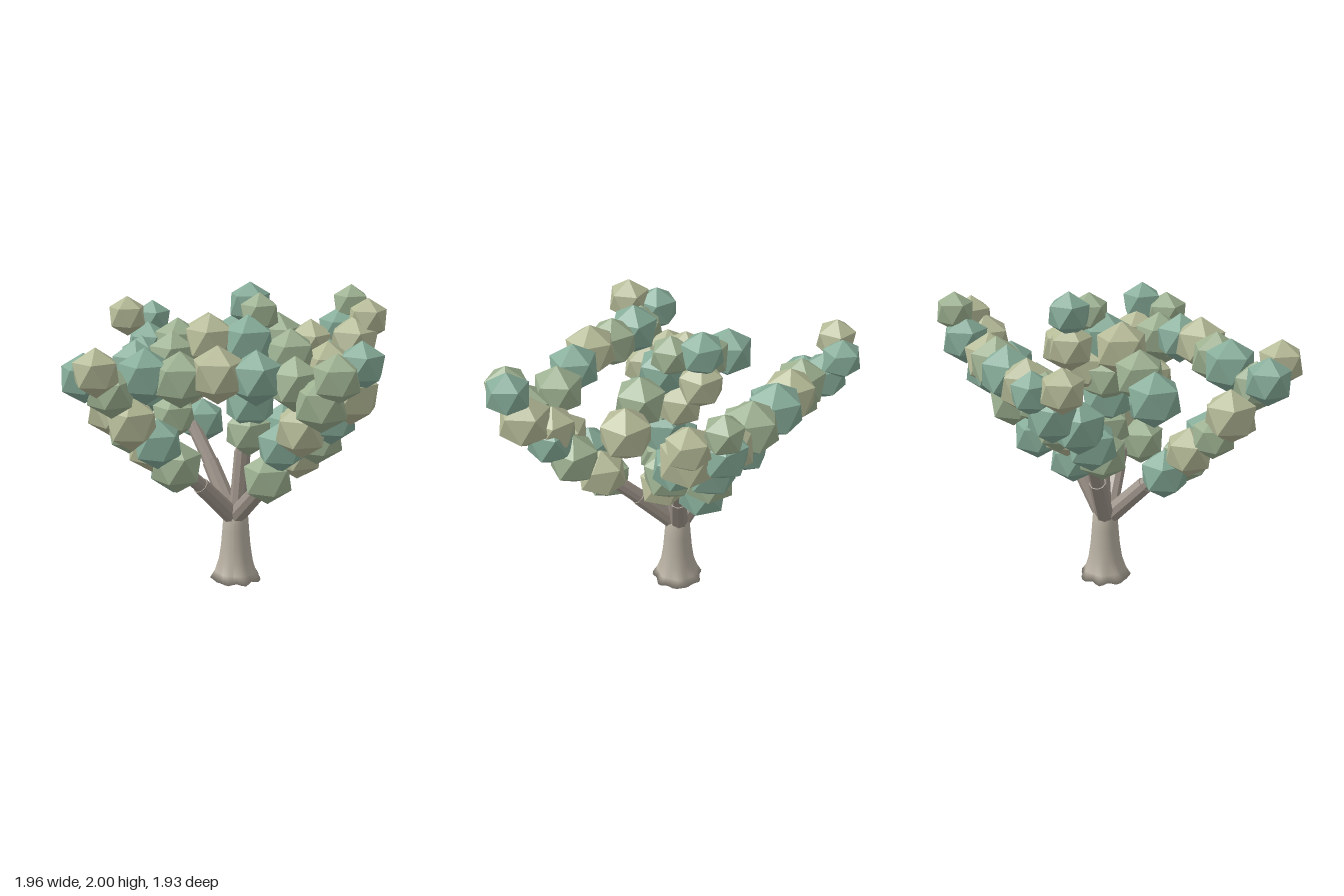
import * as THREE from 'three';

const LEAF = [0x86ac99, 0x9db191, 0xb5ba97].map(
  (color) => new THREE.MeshStandardMaterial({ color, flatShading: true }));
const TRUNK = new THREE.MeshStandardMaterial({ color: 0xb8b0a2, side: THREE.DoubleSide });
const BRANCH = new THREE.MeshStandardMaterial({ color: 0xa0968c, flatShading: true });

// Leaf clumps per group: x, y, z, radius, shade
const CLUMPS = {
  frontLeftFoliage: [
    [0.26, 0.84, 0.36, 0.17, 1], [0.44, 0.99, 0.27, 0.172, 2], [0.35, 1.07, 0.43, 0.165, 0],
    [0.57, 1.13, 0.39, 0.177, 1], [0.48, 1.21, 0.54, 0.178, 2], [0.66, 1.28, 0.5, 0.168, 0],
    [0.64, 1.36, 0.49, 0.16, 2], [0.61, 1.42, 0.71, 0.178, 1], [0.78, 1.45, 0.6, 0.182, 2],
    [0.7, 1.59, 0.79, 0.157, 1], [0.84, 1.65, 0.67, 0.153, 0],
  ],
  frontRightFoliage: [
    [-0.37, 0.84, 0.2, 0.168, 0], [-0.32, 0.91, 0.39, 0.178, 1], [-0.49, 1.01, 0.31, 0.168, 2],
    [-0.42, 1.08, 0.49, 0.165, 0], [-0.62, 1.14, 0.41, 0.15, 1], [-0.57, 1.23, 0.57, 0.178, 2],
    [-0.7, 1.29, 0.48, 0.18, 2], [-0.67, 1.45, 0.68, 0.165, 1], [-0.84, 1.53, 0.66, 0.158, 0],
    [-0.73, 1.6, 0.82, 0.155, 2],
  ],
  backLeftFoliage: [
    [0.3, 0.99, -0.4, 0.165, 0], [0.45, 1.07, -0.2, 0.155, 2], [0.53, 1.24, -0.3, 0.178, 1],
    [0.42, 1.2, -0.52, 0.165, 1], [0.65, 1.39, -0.43, 0.165, 0], [0.58, 1.4, -0.62, 0.172, 0],
    [0.76, 1.55, -0.57, 0.185, 2], [0.66, 1.6, -0.75, 0.165, 0], [0.85, 1.7, -0.63, 0.147, 2],
    [0.73, 1.78, -0.79, 0.135, 1],
  ],
  backRightFoliage: [
    [-0.26, 1.01, -0.4, 0.158, 0], [-0.44, 1.07, -0.28, 0.163, 1], [-0.37, 1.24, -0.49, 0.163, 2],
    [-0.58, 1.21, -0.42, 0.17, 0], [-0.52, 1.35, -0.61, 0.17, 1], [-0.71, 1.39, -0.57, 0.175, 0],
    [-0.69, 1.47, -0.73, 0.165, 0], [-0.84, 1.67, -0.73, 0.142, 2], [-0.68, 1.63, -0.85, 0.138, 0],
  ],
  frontRow: [
    [-0.47, 1.54, 0.61, 0.18, 0], [-0.25, 1.53, 0.64, 0.178, 1], [-0.02, 1.57, 0.655, 0.182, 2],
    [0.21, 1.55, 0.63, 0.175, 0], [0.44, 1.51, 0.59, 0.175, 1],
  ],
  backRow: [
    [-0.47, 1.5, -0.67, 0.178, 1], [-0.26, 1.53, -0.7, 0.183, 2], [-0.02, 1.55, -0.73, 0.187, 0],
    [0.23, 1.54, -0.7, 0.187, 1], [0.46, 1.51, -0.66, 0.18, 2],
  ],
  middleRow: [
    [-0.65, 1.46, -0.03, 0.18, 0], [-0.4, 1.54, 0, 0.17, 1], [-0.15, 1.65, 0, 0.18, 2],
    [0.1, 1.65, 0.01, 0.182, 0], [0.37, 1.57, 0.01, 0.175, 1], [0.61, 1.48, -0.04, 0.18, 2],
  ],
  crown: [
    [0.1, 1.05, 0.02, 0.165, 1], [0.11, 1.24, 0.02, 0.178, 0], [0.04, 1.41, -0.02, 0.165, 1],
    [0.12, 1.47, -0.12, 0.16, 2], [0.08, 1.63, -0.25, 0.158, 2], [0.16, 1.82, -0.08, 0.138, 1],
    [0.08, 1.85, -0.26, 0.15, 0],
  ],
};

// Icosahedron standing on one corner
const clumpGeometry = new THREE.IcosahedronGeometry(1, 0)
  .rotateZ(Math.atan(2 / (1 + Math.sqrt(5))));

function addFoliage(parent, name, list) {
  const group = new THREE.Group();
  group.name = name;
  list.forEach(([x, y, z, r, shade], i) => {
    const clump = new THREE.Mesh(clumpGeometry, LEAF[shade]);
    clump.name = 'leafClump';
    clump.position.set(x, y, z);
    clump.scale.setScalar(r);
    clump.rotation.y = i * 2.4 + x * 5;
    group.add(clump);
  });
  parent.add(group);
}

// Chain of segments, each one stepping down in thickness
function addBranch(parent, name, points, radii) {
  const group = new THREE.Group();
  group.name = name;
  for (let i = 0; i < points.length - 1; i++) {
    const a = new THREE.Vector3(...points[i]);
    const b = new THREE.Vector3(...points[i + 1]);
    const dir = b.clone().sub(a);
    const geometry = new THREE.CylinderGeometry(radii[i] * 0.92, radii[i], dir.length(), 9);
    const segment = new THREE.Mesh(geometry, BRANCH);
    segment.name = 'branchSegment';
    segment.position.copy(a).add(b).multiplyScalar(0.5);
    segment.quaternion.setFromUnitVectors(new THREE.Vector3(0, 1, 0), dir.normalize());
    group.add(segment);
  }
  parent.add(group);
}

// Flared trunk with a lobed, slightly ragged foot
function makeTrunk() {
  const profile = [[0, 0.015], [0.165, 0.008], [0.138, 0.06], [0.115, 0.14], [0.1, 0.24],
    [0.09, 0.36], [0.082, 0.47], [0.06, 0.5], [0, 0.505]];
  const geometry = new THREE.LatheGeometry(profile.map(([r, y]) => new THREE.Vector2(r, y)), 36);
  const p = geometry.attributes.position;
  for (let i = 0; i < p.count; i++) {
    const x = p.getX(i), y = p.getY(i), z = p.getZ(i);
    const angle = Math.atan2(z, x);
    const flare = Math.max(0, 1 - y / 0.15);
    const k = 1 + 0.07 * flare * Math.sin(7 * angle);
    const lift = Math.hypot(x, z) > 0.15 ? 0.008 * Math.cos(9 * angle) : 0;
    p.setXYZ(i, x * k, y + lift, z * k);
  }
  geometry.computeVertexNormals();
  const trunk = new THREE.Mesh(geometry, TRUNK);
  trunk.name = 'trunk';
  trunk.position.set(0.01, 0, -0.04);
  return trunk;
}

export function createModel() {
  const tree = new THREE.Group();
  tree.name = 'tree';
  tree.add(makeTrunk());

  // Front limbs, mirrored left and right, ending inside the foliage
  for (const [side, s] of [['Left', 1], ['Right', -1]]) {
    addBranch(tree, `front${side}Limb`,
      [[0.01 * s, 0.45, -0.02], [0.2 * s, 0.71, 0.15], [0.33 * s, 0.88, 0.27]], [0.062, 0.05]);
  }

  // Back limbs, the left one steeper, and the upright middle limb
  addBranch(tree, 'backLeftLimb',
    [[0.01, 0.45, -0.05], [0.18, 0.77, -0.15], [0.33, 1.0, -0.25]], [0.062, 0.05]);
  addBranch(tree, 'backRightLimb',
    [[-0.01, 0.45, -0.05], [-0.18, 0.78, -0.19], [-0.32, 1.02, -0.3]], [0.062, 0.05]);
  addBranch(tree, 'middleLimb',
    [[0.02, 0.45, -0.05], [0.055, 0.9, -0.05], [0.09, 1.2, 0]], [0.06, 0.048]);

  for (const [name, list] of Object.entries(CLUMPS)) addFoliage(tree, name, list);
  return tree;
}
